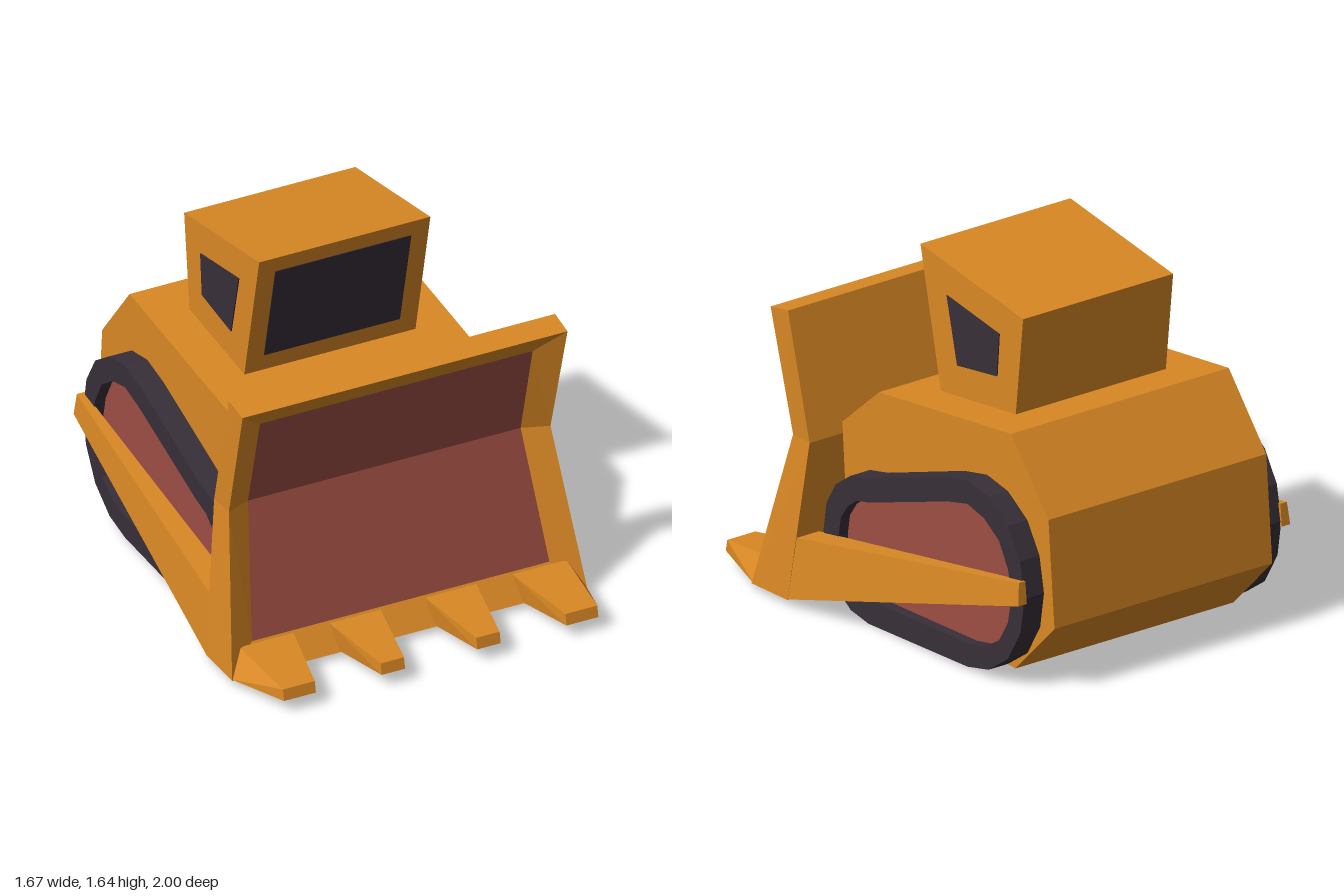
import * as THREE from 'three';
import { ConvexGeometry } from 'three/addons/geometries/ConvexGeometry.js';

const mat = (name, color) => new THREE.MeshStandardMaterial({ name, color, flatShading: true });

// Side profile of [z, y] points, extruded across x
function sideExtrude(points, width, x = 0, hole = null) {
  const toVec = (p) => new THREE.Vector2(p[0], p[1]);
  const shape = new THREE.Shape(points.map(toVec));
  if (hole) shape.holes.push(new THREE.Path(hole.map(toVec)));
  const g = new THREE.ExtrudeGeometry(shape, { depth: width, bevelEnabled: false });
  return g.rotateY(-Math.PI / 2).translate(x + width / 2, 0, 0);
}

// Solid from corner points
const hull = (points) => new ConvexGeometry(points.map((p) => new THREE.Vector3(...p)));

// Surface from four-cornered faces
function quads(list) {
  const pos = [];
  for (const [a, b, c, d] of list) pos.push(...a, ...b, ...c, ...a, ...c, ...d);
  const g = new THREE.BufferGeometry();
  g.setAttribute('position', new THREE.Float32BufferAttribute(pos, 3));
  g.computeVertexNormals();
  return g;
}

export function createModel() {
  const model = new THREE.Group();
  model.name = 'bulldozer';
  const orange = mat('orange paint', 0xd98824);
  const red = mat('dull red', 0x9e4e44);
  const dark = mat('dark rubber', 0x382f38);
  const add = (name, geometry, material) => {
    const m = new THREE.Mesh(geometry, material);
    m.name = name;
    model.add(m);
    return m;
  };

  // Body
  add('body', sideExtrude([
    [0.17, 1.0], [-0.71, 1.09], [-0.96, 0.78], [-1.0, 0.3], [-0.74, 0.04],
    [0.25, 0.1], [0.38, 0.3], [0.415, 0.79],
  ], 1.17), orange);

  // Cab and its windows
  add('cab', sideExtrude([[0.12, 1.64], [-0.565, 1.515], [-0.515, 1.06], [-0.02, 1.0]], 0.806), orange);
  const sideWindow = [[-0.06, 1.465], [-0.41, 1.4], [-0.395, 1.205], [-0.13, 1.17]];
  for (const s of [1, -1]) {
    add(s > 0 ? 'leftWindow' : 'rightWindow', sideExtrude(sideWindow, 0.008, s * 0.404), dark);
  }
  const frontZ = (y) => 0.12 - 0.226 * (1.64 - y);
  const [wTop, wLow] = [1.565, 1.1];
  add('frontWindow', sideExtrude([
    [frontZ(wTop) + 0.005, wTop], [frontZ(wTop) - 0.003, wTop],
    [frontZ(wLow) - 0.003, wLow], [frontZ(wLow) + 0.005, wLow],
  ], 0.64), dark);

  // Tracks: wide belt with a recessed centre
  const outer = [
    [0.41, 0.33], [0.39, 0.46], [0.33, 0.56], [0.23, 0.63], [0.11, 0.655], [-0.4, 0.825],
    [-0.55, 0.855], [-0.69, 0.825], [-0.82, 0.735], [-0.9, 0.6], [-0.93, 0.44], [-0.905, 0.28],
    [-0.82, 0.135], [-0.69, 0.045], [-0.55, 0.015], [0.11, 0], [0.23, 0.025], [0.33, 0.1], [0.39, 0.2],
  ];
  const inner = [
    [0.31, 0.33], [0.295, 0.42], [0.25, 0.485], [0.19, 0.53], [0.1, 0.55], [-0.42, 0.72],
    [-0.55, 0.75], [-0.66, 0.72], [-0.76, 0.65], [-0.82, 0.54], [-0.845, 0.43], [-0.82, 0.3],
    [-0.76, 0.2], [-0.66, 0.14], [-0.55, 0.12], [0.12, 0.11], [0.22, 0.13], [0.28, 0.18], [0.305, 0.25],
  ];
  add('tracks', sideExtrude(outer, 1.38, 0, inner), dark);
  add('trackCentres', sideExtrude(inner, 1.28), red);

  // Blade: three levels of [x, y, z] mirrored into a loop
  const loop = (levels) => [
    ...levels, ...levels.slice().reverse().map(([x, y, z]) => [-x, y, z]),
  ];
  const front = loop([[0.835, 0.03, 0.71], [0.757, 0.74, 0.53], [0.765, 1.275, 0.67]]);
  const back = loop([[0.835, 0.03, 0.47], [0.765, 0.74, 0.41], [0.768, 1.295, 0.55]]);
  const inset = loop([[0.7, 0.145, 0.63], [0.642, 0.735, 0.48], [0.642, 1.17, 0.59]]);
  const shell = [];
  for (let i = 0; i < 6; i++) {
    const j = (i + 1) % 6;
    shell.push([front[i], front[j], inset[j], inset[i]]);
    shell.push([front[i], back[i], back[j], front[j]]);
  }
  shell.push([back[0], back[5], back[4], back[1]], [back[1], back[4], back[3], back[2]]);
  add('blade', quads(shell), orange);
  add('bladePanel', quads([
    [inset[0], inset[1], inset[4], inset[5]],
    [inset[1], inset[2], inset[3], inset[4]],
  ]), red);

  // Push arms and teeth, mirrored
  for (const s of [1, -1]) {
    const side = s > 0 ? 'left' : 'right';
    add(side + 'Arm', hull([
      [0.685, 0.52, -0.93], [0.72, 0.52, -0.93], [0.685, 0.42, -0.94], [0.73, 0.42, -0.94],
      [0.685, 0.31, 0.45], [0.805, 0.31, 0.45], [0.685, 0.03, 0.48], [0.835, 0.03, 0.48],
    ].map(([x, y, z]) => [s * x, y, z])), orange);

    // [top root, bottom root, tip] ranges in x
    const teeth = [
      [[0.105, 0.345], [0.125, 0.325], [0.17, 0.28]],
      [[0.515, 0.77], [0.535, 0.833], [0.59, 0.74]],
    ];
    teeth.forEach(([top, low, tip], i) => {
      const pts = [];
      for (const k of [0, 1]) {
        pts.push([s * top[k], 0.145, 0.65], [s * low[k], 0.032, 0.7],
          [s * tip[k], 0.113, 0.99], [s * tip[k], 0.062, 1.0]);
      }
      add(side + (i ? 'OuterTooth' : 'InnerTooth'), hull(pts), orange);
    });
  }
  return model;
}
